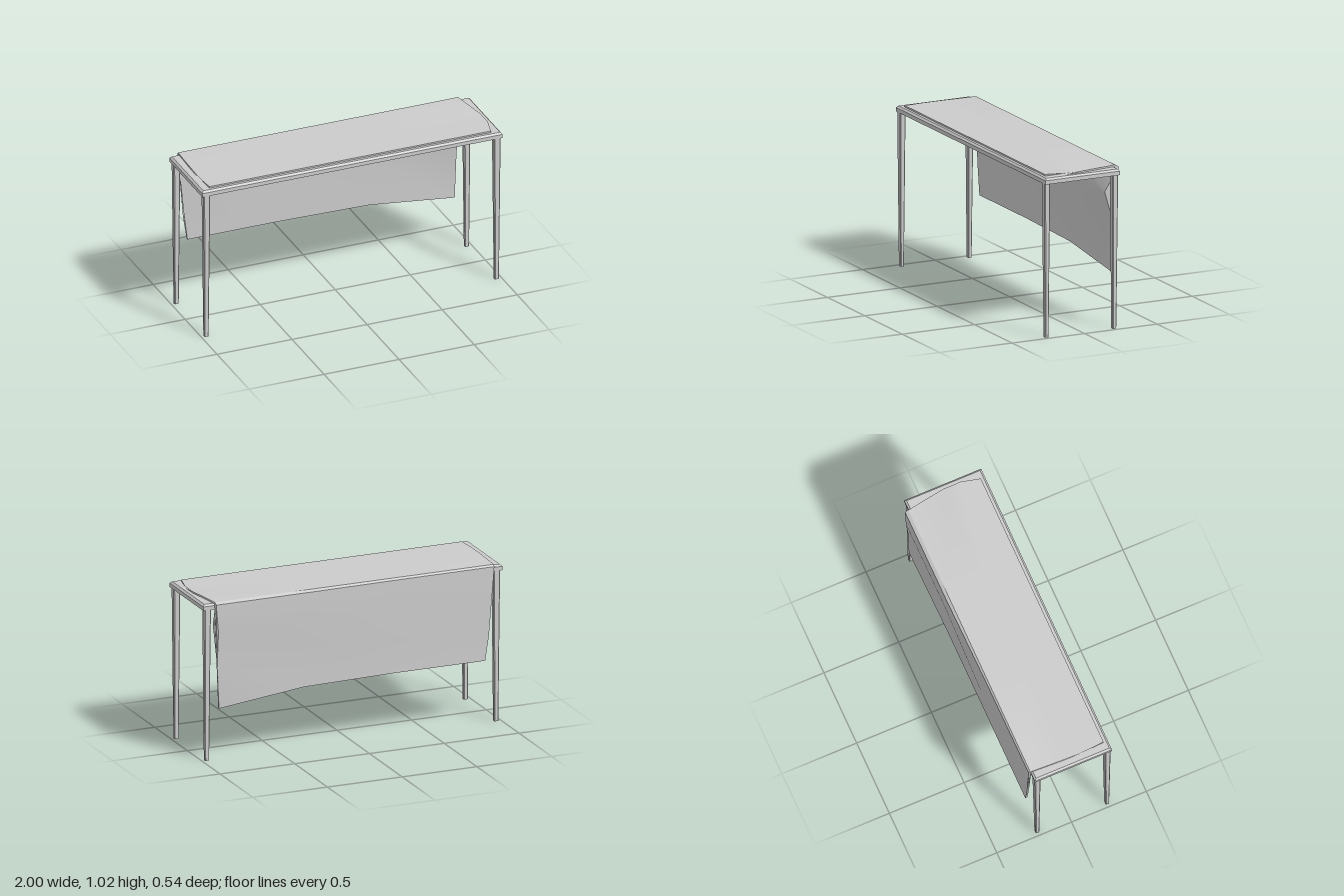
import * as THREE from 'three';
import { toCreasedNormals } from 'three/addons/utils/BufferGeometryUtils.js';

const material = new THREE.MeshStandardMaterial({ color: 0xcccccc });

// Skins a list of equal-length rings and caps both ends.
// axis: 'y' for rings stacked upward, 'x' for rings running along x; dir: +1 or -1.
function loft(name, rings, axis, dir, crease = 0.45) {
  const pos = [];
  const tri = (a, b, c) => pos.push(...a, ...b, ...c);
  const n = rings[0].length;
  for (let r = 0; r < rings.length - 1; r++) {
    for (let i = 0; i < n; i++) {
      const j = (i + 1) % n, A = rings[r], B = rings[r + 1];
      tri(A[i], A[j], B[j]);
      tri(A[i], B[j], B[i]);
    }
  }
  const cap = (ring, sign) => {
    const flat = ring.map(p => (axis === 'y' ? new THREE.Vector2(p[2], p[0]) : new THREE.Vector2(p[1], p[2])));
    for (const [a, b, c] of THREE.ShapeUtils.triangulateShape(flat, [])) {
      const area = THREE.ShapeUtils.area([flat[a], flat[b], flat[c]]);
      if (area * sign > 0) tri(ring[a], ring[b], ring[c]);
      else tri(ring[a], ring[c], ring[b]);
    }
  };
  cap(rings[0], -dir);
  cap(rings[rings.length - 1], dir);
  let geo = new THREE.BufferGeometry();
  geo.setAttribute('position', new THREE.Float32BufferAttribute(pos, 3));
  geo = toCreasedNormals(geo, crease);
  const mesh = new THREE.Mesh(geo, material);
  mesh.name = name;
  return mesh;
}

// Rectangle in the xz plane with optional cut corners, counter-clockwise from above
function rect(cx, cz, hx, hz, y, cut = 0) {
  const corners = [[1, 1], [1, -1], [-1, -1], [-1, 1]];
  if (!cut) return corners.map(([x, z]) => [cx + x * hx, y, cz + z * hz]);
  return corners.flatMap(([x, z]) => {
    const a = [cx + x * (hx - cut), y, cz + z * hz];
    const b = [cx + x * hx, y, cz + z * (hz - cut)];
    return x * z > 0 ? [a, b] : [b, a];
  });
}

// Cross-section of the cloth, from its front edge over the top, down the back and up inside
function clothSection({ xs, hem, fold, back, inner }) {
  const [xFront, xMid, xBack, xDrop, xFold, xHem] = xs;
  return [
    [xFront, 1.022, 0.24], [xMid, 1.022, 0.12], [xMid, 1.022, 0], [xBack, 1.022, -0.25],
    [xBack, 1.01, back], [xDrop, 0.83, back], [xFold, fold - 0.03, -0.257],
    [xHem, hem, -0.257], [xHem, hem, -0.244],
    [xFold, fold, -0.244], [xDrop, 0.855, inner], [xBack, 0.965, -0.246],
    [xBack, 1.011, -0.246], [xMid, 1.011, 0], [xMid, 1.011, 0.12], [xFront, 1.011, 0.24],
  ];
}

export function createModel() {
  const group = new THREE.Group();
  group.name = 'sideTableWithCloth';

  // Table top: hollow underside, thin rim, bevelled upper edge
  const top = (inset, y) => rect(0, 0.0125, 1 - inset, 0.2575 - inset, y);
  group.add(loft('tableTop', [
    top(0.025, 0.99), top(0.025, 0.975), top(0, 0.975), top(0, 1.0), top(0.012, 1.012),
  ], 'y', 1));

  // Four tapered legs with cut corners
  for (const side of [1, -1]) {
    for (const [name, zTop, zFoot] of [['frontLeg', 0.249, 0.249], ['backLeg', -0.22, -0.218]]) {
      group.add(loft(name, [
        rect(side * 0.967, zFoot, 0.014, 0.012, 0, 0.004),
        rect(side * 0.967, zTop, 0.023, 0.02, 0.988, 0.006),
      ], 'y', 1));
    }
  }

  // Cloth lying on the top and hanging down behind, fuller at its left end
  const columns = [
    { xs: [0.935, 0.965, 0.925, 0.91, 0.912, 0.9], hem: 0.335, fold: 0.65, back: -0.272, inner: -0.185 },
    { xs: [0.32, 0.32, 0.32, 0.32, 0.33, 0.33], hem: 0.4, fold: 0.7, back: -0.27, inner: -0.23 },
    { xs: [-0.3, -0.3, -0.3, -0.29, -0.27, -0.25], hem: 0.41, fold: 0.64, back: -0.262, inner: -0.244 },
    { xs: [-0.94, -0.95, -0.94, -0.925, -0.905, -0.88], hem: 0.41, fold: 0.6, back: -0.26, inner: -0.244 },
  ];
  group.add(loft('cloth', columns.map(clothSection), 'x', -1));

  return group;
}
